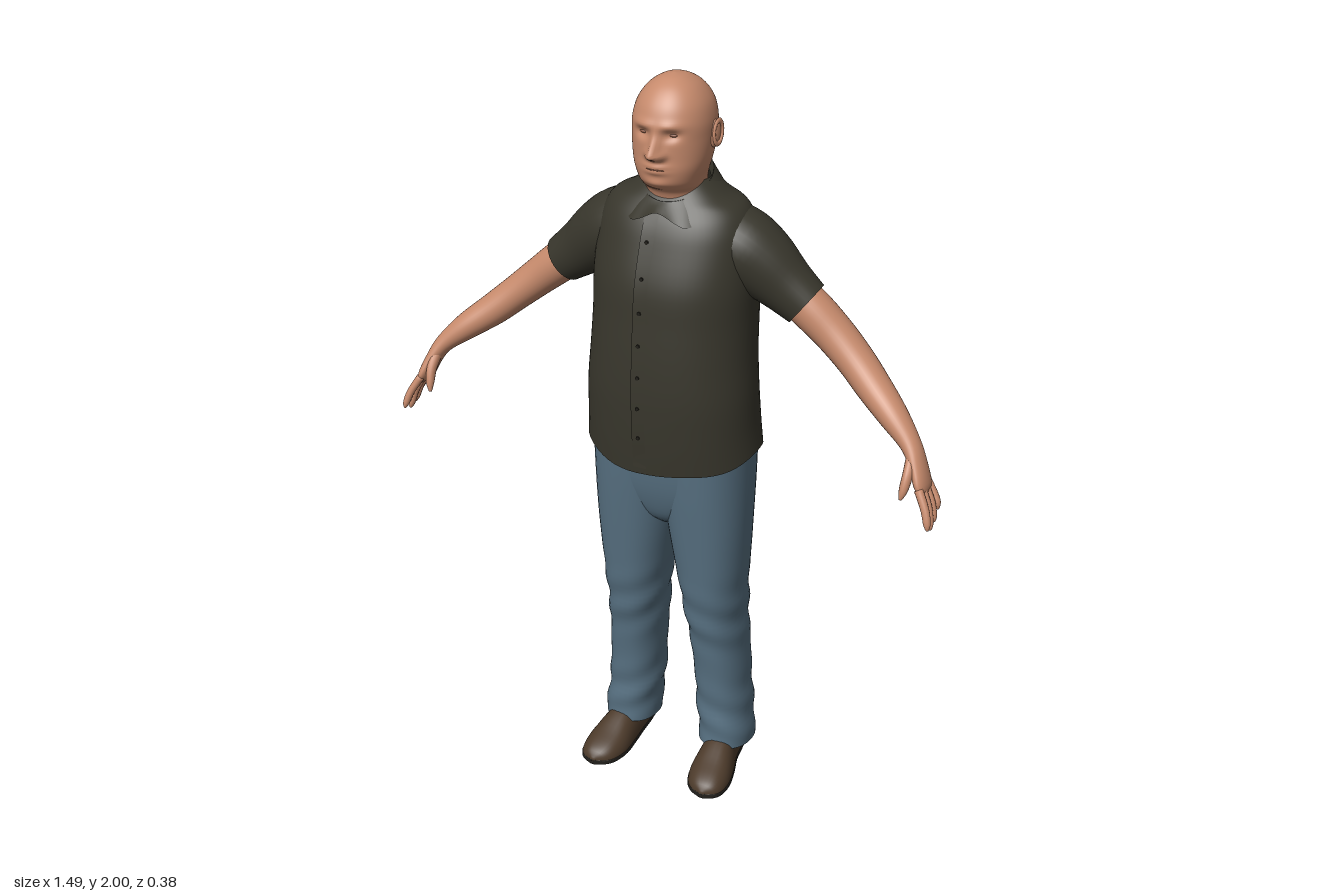
import * as THREE from 'three';

const paint = (name, color, side = THREE.FrontSide) => {
  const m = new THREE.MeshStandardMaterial({ color, side });
  m.name = name;
  return m;
};

// Smooth interpolation between rows of numbers
function refine(rows, sub) {
  const out = [], last = rows.length - 1;
  const at = i => rows[Math.min(last, Math.max(0, i))];
  for (let i = 0; i < last; i++) {
    for (let s = 0; s < sub; s++) {
      const t = s / sub;
      out.push(rows[i].map((b, k) => {
        const a = at(i - 1)[k], c = at(i + 1)[k], d = at(i + 2)[k];
        return b + 0.5 * t * (c - a + t * (2 * a - 5 * b + 4 * c - d + t * (3 * (b - c) + d - a)));
      }));
    }
  }
  out.push(rows[last]);
  return out;
}

// Skin a run of closed cross-sections; section(row, angle, tangent) gives a point
function loft(rows, section, { n = 32, sub = 4, caps = true } = {}) {
  const fine = refine(rows, sub), pos = [], idx = [], m = fine.length;
  fine.forEach((row, i) => {
    const a = fine[Math.max(0, i - 1)], b = fine[Math.min(m - 1, i + 1)];
    const tangent = new THREE.Vector3(b[0] - a[0], b[1] - a[1], b[2] - a[2]).normalize();
    for (let j = 0; j < n; j++) pos.push(...section(row, j / n * Math.PI * 2, tangent));
  });
  for (let i = 0; i < m - 1; i++) {
    for (let j = 0; j < n; j++) {
      const k = (j + 1) % n, a = i * n + j, b = i * n + k;
      idx.push(a, b, b + n, a, b + n, a + n);
    }
  }
  if (caps) {
    for (const i of [0, m - 1]) {
      const mid = [0, 0, 0], c = pos.length / 3;
      for (let j = 0; j < n; j++) for (let k = 0; k < 3; k++) mid[k] += pos[(i * n + j) * 3 + k] / n;
      pos.push(...mid);
      for (let j = 0; j < n; j++) {
        const a = i * n + j, b = i * n + (j + 1) % n;
        idx.push(c, ...(i ? [a, b] : [b, a]));
      }
    }
  }
  const P = i => new THREE.Vector3().fromArray(pos, i * 3);
  const centre = new THREE.Vector3();
  for (let i = 0; i < pos.length / 3; i++) centre.addScaledVector(P(i), 3 / pos.length);
  // Turn the faces outward whichever way the sections run
  let volume = 0;
  for (let f = 0; f < idx.length; f += 3) {
    const [a, b, c] = [0, 1, 2].map(k => P(idx[f + k]).sub(centre));
    volume += a.dot(b.cross(c));
  }
  if (volume < 0) idx.reverse();
  const g = new THREE.BufferGeometry();
  g.setAttribute('position', new THREE.Float32BufferAttribute(pos, 3));
  g.setIndex(idx);
  g.computeVertexNormals();
  return g;
}

const pow = (v, e) => Math.sign(v) * Math.abs(v) ** e;
const bump = (v, c, w) => Math.exp(-(((v - c) / w) ** 2));

// Upright section, row = [y, xMin, xMax, zFront, zBack]
const upright = (p, s = 1) => ([y, x0, x1, zf, zb], a) => [
  s * ((x0 + x1) / 2 + (x1 - x0) / 2 * pow(Math.sin(a), 2 / p)), y,
  (zf + zb) / 2 + (zf - zb) / 2 * pow(Math.cos(a), 2 / p)];

// Limb section, row = [x, y, z, thickness, breadth along z]
const limb = s => ([x, y, z, ra, rb], a, t) => {
  const u = new THREE.Vector3(0, 0, 1).addScaledVector(t, -t.z).normalize();
  const v = new THREE.Vector3().crossVectors(t, u);
  const p = new THREE.Vector3(x, y, z).addScaledVector(u, rb * Math.cos(a)).addScaledVector(v, ra * Math.sin(a));
  return [s * p.x, p.y, p.z];
};

const sym = rows => rows.map(([y, w, zf, zb]) => [y, -w, w, zf, zb]);

const TORSO = sym([
  [1.03, .235, .168, -.176], [1.1, .229, .175, -.172], [1.2, .224, .178, -.162], [1.3, .216, .174, -.17],
  [1.4, .212, .165, -.182], [1.5, .212, .153, -.184], [1.6, .205, .12, -.168], [1.65, .193, .098, -.153],
  [1.685, .17, .075, -.137], [1.71, .125, .06, -.122], [1.745, .083, .04, -.106]]);
const HEAD = sym([
  [1.66, .08, .05, -.09], [1.72, .075, .066, -.09], [1.742, .077, .09, -.09], [1.76, .081, .104, -.091],
  [1.79, .09, .11, -.094], [1.82, .096, .109, -.101], [1.86, .099, .109, -.112], [1.9, .098, .108, -.115],
  [1.94, .087, .094, -.104], [1.973, .063, .067, -.077], [1.993, .032, .034, -.042], [2, .002, .002, -.004]]);
const LEG = [
  [.055, .075, .222, .054, -.138], [.1, .073, .221, .052, -.138], [.2, .063, .21, .049, -.141],
  [.3, .058, .204, .055, -.141], [.4, .05, .199, .066, -.14], [.5, .04, .197, .084, -.135],
  [.6, .026, .2, .1, -.13], [.7, .01, .207, .11, -.13], [.8, -.005, .212, .12, -.133],
  [.92, -.02, .215, .131, -.145], [1.05, -.03, .216, .14, -.155]];
const SHOE = [ // z, centre x, half width, height
  [-.128, .145, .012, .045], [-.115, .145, .034, .08], [-.06, .147, .043, .1], [0, .15, .047, .102],
  [.05, .156, .055, .092], [.11, .162, .061, .068], [.155, .167, .053, .052], [.18, .17, .035, .038],
  [.193, .171, .006, .02]];

export function createModel() {
  const root = new THREE.Group();
  const skin = paint('skin', 0xc68a6c), shirt = paint('shirt cloth', 0x38362c, THREE.DoubleSide);
  const denim = paint('denim', 0x577081, THREE.DoubleSide), leather = paint('shoe leather', 0x4d3b2b);
  const rubber = paint('sole rubber', 0x22201c), shade = paint('lips and eyes', 0x85543f);
  const buttonMat = paint('buttons', 0x211f1a);
  const add = (name, geometry, material, x = 0, y = 0, z = 0) => {
    const m = new THREE.Mesh(geometry, material);
    m.name = name;
    m.position.set(x, y, z);
    root.add(m);
    return m;
  };

  // Head with brow, nose, lips and chin raised from the face
  const face = upright(2.15);
  add('head', loft(HEAD, (row, a) => {
    let [x, y, z] = face(row, a);
    if (z > 0.02) {
      const ax = Math.abs(x);
      const slope = y > 1.832 ? bump(y, 1.832, .036) : bump(y, 1.832, .013);
      z += .036 * bump(x, 0, .011 + .007 * bump(y, 1.828, .02)) * slope;
      z += .008 * bump(y, 1.829, .01) * bump(ax, .017, .009);
      z -= .012 * bump(ax, .037, .02) * bump(y, 1.878, .013);
      z += .006 * bump(y, 1.9, .011) * bump(ax, .033, .03);
      z += .006 * bump(x, 0, .026) * (bump(y, 1.802, .007) + bump(y, 1.788, .007));
      z += .006 * bump(x, 0, .03) * bump(y, 1.757, .012);
    }
    return [x, y, z];
  }, { n: 96, sub: 8 }), skin);
  add('mouth', new THREE.SphereGeometry(1, 16, 8), shade, 0, 1.795, .11).scale.set(.024, .002, .007);

  // Shirt body with a curved hem
  const body = upright(2.25);
  add('shirtBody', loft(TORSO, (row, a) => {
    const [x, y, z] = body(row, a);
    const hem = Math.max(0, 1 - (y - 1.03) / .1);
    return [x, y - hem * (.038 * Math.cos(a) ** 2 - .004 * Math.sin(5 * a)), z];
  }, { n: 64, sub: 5, caps: false }), shirt);

  // Button placket following the chest
  const rows = refine(TORSO, 5).filter(r => r[0] < 1.68);
  const chest = y => {
    const i = Math.max(1, rows.findIndex(r => r[0] >= y)), a = rows[i - 1], b = rows[i];
    return a[3] + (b[3] - a[3]) * (y - a[0]) / (b[0] - a[0]);
  };
  const strip = new THREE.PlaneGeometry(.036, .66, 1, 30).translate(-.02, 1.34, 0);
  const sp = strip.attributes.position;
  for (let i = 0; i < sp.count; i++) sp.setZ(i, chest(Math.max(1.03, sp.getY(i))) + .002);
  strip.computeVertexNormals();
  add('placket', strip, shirt);
  for (let i = 0; i < 7; i++) {
    const y = 1.1 + i * .085;
    add('button', new THREE.CylinderGeometry(.005, .005, .004, 12).rotateX(Math.PI / 2), buttonMat, -.02, y, chest(y) + .003);
  }

  // Folded collar, high behind and pointed in front
  const collar = [[.08, -.025], [.086, 0], [.09, -.004], [.118, -.042]];
  add('collar', loft(collar, ([r, drop], a) => {
    const d = Math.min(a, Math.PI * 2 - a), c = Math.cos(a), out = (r - .086) / .032;
    const tip = out > 0 ? out * bump(d, .75, .32) : 0;
    const back = out > 0 ? out * Math.max(0, -c) * .018 : 0;
    return [r * Math.sin(a), 1.741 - .04 * c + drop * (c > 0 ? 1 - .55 * bump(d, 0, .3) : 1) - .016 * tip,
      -.018 + r * c * 1.02 + .02 * tip + back];
  }, { n: 64, sub: 3, caps: false }), shirt);

  // Hips joining the legs
  add('trouserSeat', loft(sym([
    [.79, .03, .06, -.07], [.83, .1, .1, -.115], [.9, .2, .125, -.14], [.98, .214, .138, -.156],
    [1.06, .214, .142, -.158]]), upright(2.4), { n: 48 }), denim);

  for (const s of [1, -1]) {
    const side = s > 0 ? 'left' : 'right';

    // Eye and ear
    add(side + 'Eye', new THREE.SphereGeometry(1, 16, 10), shade, s * .036, 1.878, .089).scale.set(.013, .0045, .006);
    const ear = add(side + 'Ear', new THREE.SphereGeometry(1, 20, 14), skin, s * .101, 1.862, -.01);
    ear.scale.set(.008, .034, .019);
    ear.rotation.set(-.15, s * -.25, 0);
    const rim = add(side + 'EarRim', new THREE.TorusGeometry(.016, .004, 8, 24).rotateY(Math.PI / 2), skin, s * .108, 1.865, -.012);
    rim.scale.set(1, 1.75, 1);
    rim.rotation.copy(ear.rotation);

    // Sleeve, arm and hand
    add(side + 'Sleeve', loft([
      [.1, 1.6, -.035, .095, .1], [.165, 1.572, -.038, .1, .1], [.22, 1.538, -.042, .091, .088],
      [.28, 1.492, -.044, .074, .07], [.336, 1.45, -.045, .063, .06]], limb(s), { caps: false }), shirt);
    add(side + 'Arm', loft([
      [.25, 1.515, -.044, .05, .05], [.34, 1.446, -.045, .054, .054], [.41, 1.388, -.043, .05, .053],
      [.475, 1.333, -.029, .046, .051], [.535, 1.283, -.003, .043, .047], [.6, 1.235, .032, .036, .04],
      [.655, 1.187, .06, .025, .031], [.682, 1.145, .075, .02, .036], [.702, 1.1, .088, .017, .042],
      [.71, 1.08, .092, .009, .032]], limb(s)), skin);
    [.03, .008, 0, .012].forEach((lift, k) => {
      const o = k - 1.5;
      add(side + 'Finger', loft([
        [.702, 1.1, .09 + .021 * o, .011, .011], [.726, 1.055 + lift / 3, .101 + .024 * o, .0105, .0105],
        [.737, 1.015 + lift, .109 + .026 * o, .009, .009], [.74, 1.0 + lift, .112 + .027 * o, .003, .003]],
      limb(s), { n: 12 }), skin);
    });
    add(side + 'Thumb', loft([
      [.668, 1.165, .08, .014, .016], [.67, 1.13, .112, .013, .015], [.667, 1.095, .13, .011, .011],
      [.663, 1.072, .138, .004, .004]], limb(s), { n: 14 }), skin);

    // Trouser leg, hem lower at the heel, with soft folds near the ankle and knee
    const leg = upright(2.3, s);
    add(side + 'TrouserLeg', loft(LEG, (row, a) => {
      const [x, y, z] = leg(row, a), low = Math.max(0, 1 - y / .2);
      const fold = .004 * Math.sin(y * 55 + 2 * a) * (bump(y, .17, .1) + bump(y, .5, .1));
      return [x + s * fold * Math.sin(a), y + low * .25 * (z + .03), z + fold * Math.cos(a)];
    }, { n: 40, sub: 6, caps: false }), denim);

    // Shoe upper and flat sole
    add(side + 'Shoe', loft(SHOE, ([z, cx, w, h], a) =>
      [s * (cx + w * pow(Math.cos(a), .8)), .012 + (h - .012) * Math.max(0, Math.sin(a)), z]), leather);
    add(side + 'Sole', loft(SHOE, ([z, cx, w], a) =>
      [s * (cx + (w + .002) * pow(Math.cos(a), .3)), .008 + .008 * pow(Math.sin(a), .3), z]), rubber);
  }
  return root;
}
